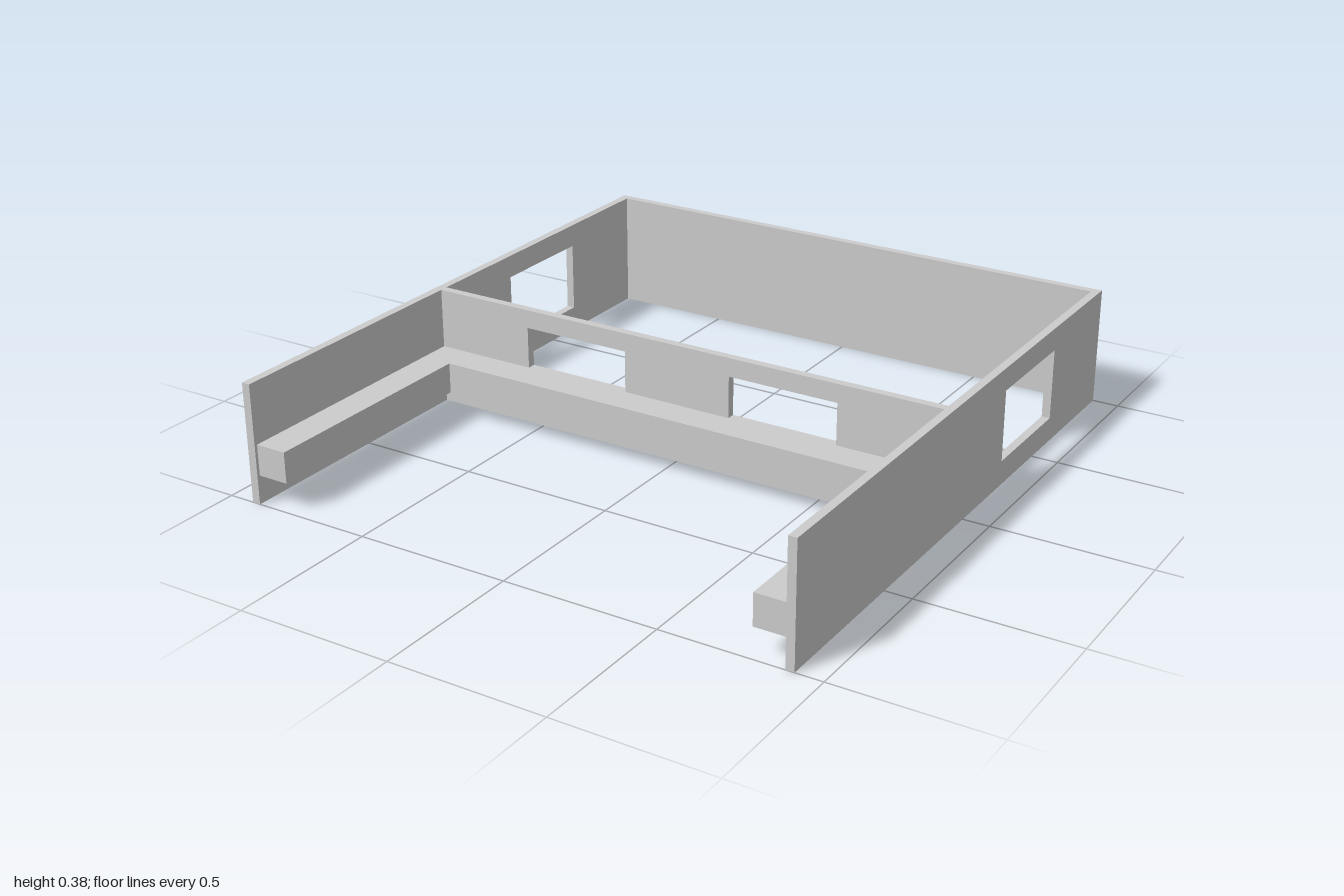
import * as THREE from 'three';

const W = 0.915, H = 0.385, T = 0.027; // half width, height, wall thickness
const INNER = W - T;
const material = new THREE.MeshStandardMaterial({ color: 0xcccccc, flatShading: true });

function path(PathType, points) {
  return new PathType(points.map(([x, y]) => new THREE.Vector2(x, y)));
}

function rect(PathType, x0, x1, y0, y1) {
  return path(PathType, [[x0, y0], [x1, y0], [x1, y1], [x0, y1]]);
}

function slab(name, shape, depth) {
  const geometry = new THREE.ExtrudeGeometry(shape, { depth, bevelEnabled: false });
  const mesh = new THREE.Mesh(geometry, material);
  mesh.name = name;
  return mesh;
}

export function createModel() {
  const model = new THREE.Group();
  model.name = 'openTray';

  // Side walls, each with a rectangular window near the back
  for (const [name, x] of [['leftWall', INNER], ['rightWall', -W]]) {
    const shape = rect(THREE.Shape, -1, 1, 0, H);
    shape.holes.push(rect(THREE.Path, 0.263, 0.627, 0.08, 0.31));
    const wall = slab(name, shape, T);
    wall.rotation.y = Math.PI / 2;
    wall.position.x = x;
    model.add(wall);
  }

  // Plain back wall
  const back = slab('backWall', rect(THREE.Shape, -INNER, INNER, 0, H), T);
  back.position.z = -1;
  model.add(back);

  // Cross wall with two slots resting on the ledge height
  const crossShape = rect(THREE.Shape, -INNER, INNER, 0, H);
  for (const x of [-0.55, 0.185]) {
    crossShape.holes.push(rect(THREE.Path, x, x + 0.365, 0.19, 0.325));
  }
  const cross = slab('crossWall', crossShape, T);
  cross.position.z = 0.08;
  model.add(cross);

  // U-shaped ledge around the front bay
  const ledgeIn = 0.785, z0 = 0.107, z1 = 0.213, zEnd = 0.99;
  const ledge = slab('supportLedge', path(THREE.Shape, [
    [-INNER, z0], [INNER, z0], [INNER, zEnd], [ledgeIn, zEnd],
    [ledgeIn, z1], [-ledgeIn, z1], [-ledgeIn, zEnd], [-INNER, zEnd],
  ]), 0.1);
  ledge.rotation.x = Math.PI / 2;
  ledge.position.y = 0.19;
  model.add(ledge);

  return model;
}
